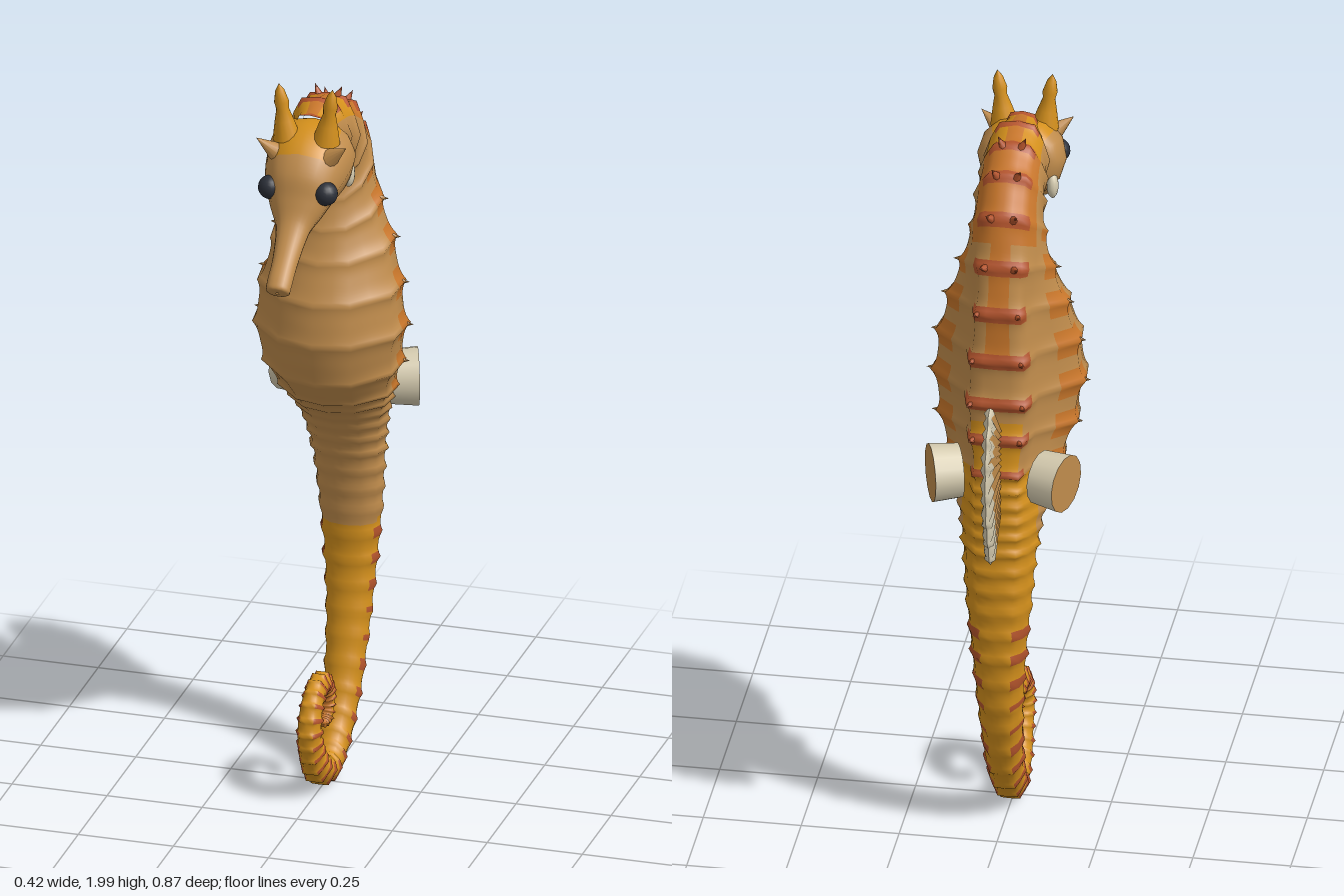
import * as THREE from 'three';

const mat = (name, color) => {
  const m = new THREE.MeshStandardMaterial({ color });
  m.name = name;
  return m;
};
const tan = mat('tan skin', 0xc08c4c);
const gold = mat('golden skin', 0xd4901c);
const orange = mat('burnt orange', 0xc8762a);
const red = mat('rust red', 0xb4542c);
const cream = mat('cream fin', 0xd6ccb0);
const dark = mat('dark eye', 0x2b2f38);
const palette = [tan, gold, orange, red, cream];

// Grid surface: point(i, j) places vertices, paint(i, j) picks a material per cell
function grid(name, rows, cols, wrap, flip, point, paint) {
  const n = wrap ? cols : cols + 1, pos = [], buckets = palette.map(() => []);
  for (let i = 0; i <= rows; i++) for (let j = 0; j < n; j++) pos.push(...point(i, j));
  for (let i = 0; i < rows; i++) for (let j = 0; j < cols; j++) {
    const k = (j + 1) % n, a = i * n + j, b = i * n + k, c = a + n, d = b + n;
    buckets[palette.indexOf(paint(i, j))].push(...(flip ? [a, c, b, b, c, d] : [a, b, c, b, d, c]));
  }
  const g = new THREE.BufferGeometry();
  g.setAttribute('position', new THREE.Float32BufferAttribute(pos, 3));
  g.setIndex(buckets.flat());
  let start = 0;
  buckets.forEach((b, m) => { if (b.length) g.addGroup(start, b.length, m); start += b.length; });
  g.computeVertexNormals();
  const mesh = new THREE.Mesh(g, palette);
  mesh.name = name;
  return mesh;
}

// Half cross-sections as [side, back-to-belly]; 12 cells per half
const PLATED = [[0, -1], [.37, -.96], [.5, -.6], [.98, -.06], [.95, .42], [.5, .88], [0, 1]];
const ROUND = [[0, -1], [.52, -.88], [.87, -.5], [1, 0], [.87, .5], [.52, .87], [0, 1]];
const RIDGE = [.7, 1.5, .4, 1.3, 1, .6, .5];
function section(j, plated) {
  const right = j <= 12, h = right ? j : 24 - j, k = Math.min(5, Math.floor(h / 2)), f = h / 2 - k;
  const mix = THREE.MathUtils.lerp;
  const at = (q, c) => mix(ROUND[q][c], PLATED[q][c], plated);
  return {
    u: mix(at(k, 0), at(k + 1, 0), f) * (right ? 1 : -1),
    v: mix(at(k, 1), at(k + 1, 1), f),
    r: mix(RIDGE[k], RIDGE[k + 1], f)
  };
}

// Smooth spine from stations [backZ, backY, bellyZ, bellyY, halfWidth]
function spine(stations) {
  const curve = f => new THREE.CatmullRomCurve3(stations.map(f));
  const back = curve(s => new THREE.Vector3(0, s[1], s[0]));
  const belly = curve(s => new THREE.Vector3(0, s[3], s[2]));
  const width = curve((s, i) => new THREE.Vector3(s[4], i * .1, 0));
  const last = stations.length - 1;
  return t => ({ a: back.getPoint(t / last), b: belly.getPoint(t / last), w: width.getPoint(t / last).x });
}

function loft(name, stations, per, bump, plating, paint) {
  const at = spine(stations), rows = (stations.length - 1) * per;
  return grid(name, rows, 24, true, false, (i, j) => {
    const t = i / per, { a, b, w } = at(t), s = section(j, plating(w));
    const mid = a.clone().add(b).multiplyScalar(.5), half = b.clone().sub(a).multiplyScalar(.5);
    const e = bump(t, w) * s.r, len = Math.max(half.length(), .001);
    const p = mid.addScaledVector(half, s.v * (1 + e / len));
    return [s.u * (w + e), p.y, p.z];
  }, (i, j) => {
    const h = j < 12 ? j : 23 - j;
    return paint((i + .5) / per, h);
  });
}

const BODY = [
  [.14, 1.905, .1, 1.75, .05], [.06, 1.92, .04, 1.73, .075], [-.02, 1.9, .01, 1.71, .08],
  [-.1, 1.855, 0, 1.675, .085], [-.172, 1.77, .015, 1.62, .092], [-.215, 1.65, .04, 1.55, .115],
  [-.24, 1.53, .07, 1.47, .148], [-.25, 1.4, .108, 1.37, .175], [-.258, 1.28, .12, 1.26, .186],
  [-.263, 1.18, .088, 1.14, .17], [-.27, 1.08, .02, 1.06, .143], [-.276, .97, -.07, .97, .113],
  [-.28, .86, -.125, .86, .094], [-.282, .72, -.155, .72, .083], [-.275, .55, -.165, .55, .068],
  [-.245, .36, -.145, .39, .056], [-.178, .175, -.1, .23, .047], [-.09, .062, -.05, .14, .041],
  [0, .02, 0, .095, .037], [.1, .058, .055, .12, .034], [.155, .13, .09, .165, .03],
  [.175, .21, .11, .21, .03], [.15, .287, .095, .255, .028], [.095, .33, .07, .275, .025],
  [.03, .325, .045, .275, .024], [-.017, .283, .02, .255, .022], [-.023, .225, .01, .225, .02],
  [0, .182, .015, .205, .018], [.035, .183, .03, .2, .014], [.048, .195, .045, .2, .004]
];
const HEAD = [
  [.425, 1.542, .42, 1.535, .004], [.437, 1.558, .402, 1.522, .029], [.425, 1.575, .388, 1.535, .033],
  [.37, 1.622, .335, 1.575, .034], [.31, 1.685, .265, 1.63, .045], [.285, 1.74, .22, 1.655, .07],
  [.265, 1.8, .17, 1.675, .092], [.215, 1.86, .12, 1.68, .108], [.15, 1.89, .08, 1.7, .112],
  [.09, 1.88, .06, 1.74, .09], [.06, 1.83, .055, 1.79, .02]
];

// Bony ring strength along the body: 1 on a ring, 0 between rings
function ring(t) {
  const phase = t < 10 ? t : t < 16 ? 10 + (t - 10) * 2.5 : 25 + (t - 16) * 2;
  return Math.abs((phase % 1) * 2 - 1);
}
function paintBody(t, h) {
  const r = ring(t);
  if (t < 10) {
    if (h < 3 && r > .6) return red;
    if (h < 1 && t < 7) return orange;
    if (h < 4 && t < 4.5) return t < 2 ? gold : orange;
    if ((h === 5 || h === 6) && t > 4 && r > .35) return orange;
    return h < 2 && t > 8.5 ? gold : tan;
  }
  if (t > 27) return orange;
  if (t > 13.4) {
    if (r > .68 && h > 1 && h < 8) return red;
    return t > 22 && h > 7 ? orange : gold;
  }
  return h < 4 + (t - 10) * .6 ? gold : tan;
}

function add(parent, name, geometry, material, position) {
  const m = new THREE.Mesh(geometry, material);
  m.name = name;
  m.position.set(...position);
  parent.add(m);
  return m;
}
const UP = new THREE.Vector3(0, 1, 0);
const aim = (m, x, y, z) => m.quaternion.setFromUnitVectors(UP, new THREE.Vector3(x, y, z).normalize());

export function createModel() {
  const model = new THREE.Group();
  model.name = 'seahorse';

  // Ringed trunk and curled tail, head with snout
  model.add(loft('body', BODY, 12, (t, w) => Math.pow(ring(t), 3) * (.004 + w * .05) * (t > 28 ? 0 : 1),
    w => THREE.MathUtils.smoothstep(w, .085, .15), paintBody));
  model.add(loft('head', HEAD, 6, () => 0, () => 0, (t, h) => t > 6.7 && h < 3 ? gold : tan));

  // Spines along the back and flanks
  const at = spine(BODY), spineShape = new THREE.ConeGeometry(.013, .036, 8);
  for (let t = 2; t <= 9; t++) {
    const { a, b, w } = at(t), out = a.clone().sub(b).normalize(), mid = a.clone().add(b).multiplyScalar(.5);
    for (const s of [-1, 1]) {
      const p = a.clone().addScaledVector(out, .008);
      aim(add(model, 'backSpine', spineShape, red, [s * w * .36, p.y, p.z]), s * .4, out.y, out.z);
      if (t > 4) aim(add(model, 'flankSpine', spineShape, tan, [s * (w + .006), mid.y, mid.z]), s, 0, -.1);
    }
  }

  // Paired head details and side fins
  const hornShape = new THREE.LatheGeometry([[.036, -.02], [.024, .03], [.016, .06], [.019, .08], [.012, .11], [0, .13]]
    .map(p => new THREE.Vector2(...p)), 14);
  const finShape = new THREE.CylinderGeometry(.076, .07, .075, 14);
  for (const s of [-1, 1]) {
    aim(add(model, 'crownHorn', hornShape, gold, [s * .054, 1.875, .17]), s * .13, 1, .04);
    aim(add(model, 'browSpike', new THREE.ConeGeometry(.03, .075, 12), tan, [s * .09, 1.842, .205]), s * .75, .6, .25);
    add(model, 'eye', new THREE.SphereGeometry(.031, 16, 12), dark, [s * .073, 1.747, .243]);
    const gill = add(model, 'gillPatch', new THREE.SphereGeometry(.03, 12, 8), cream, [s * .086, 1.735, .083]);
    gill.scale.set(.5, 1.15, .7);
    const fin = add(model, 'sideFin', finShape, [cream, tan, cream], [s * .138, 1.055, -.218]);
    aim(fin, s * .93, 0, -.34);
  }

  // Fan-shaped back fin with ruffled rays
  const edge = new THREE.CatmullRomCurve3([[1.33, -.36], [1.27, -.405], [1.18, -.428], [1.05, -.418], [.95, -.388], [.87, -.355]]
    .map(([y, z]) => new THREE.Vector3(0, y, z)));
  const levels = [0, .35, .66, .94, 1];
  for (const s of [-1, 1]) {
    model.add(grid('backFin', 28, 4, false, s > 0, (i, k) => {
      const f = i / 28, root = new THREE.Vector3(0, 1.21 - .22 * f, -.255);
      const reach = levels[k] * (i % 4 === 2 ? 1.05 : i % 2 ? 1.02 : .98);
      const p = root.lerp(edge.getPoint(f), reach);
      return [k === 4 ? 0 : s * (i % 2 ? .014 : .007), p.y, p.z];
    }, (i, k) => k < 2 || (k === 2 && i % 4 === 1) ? tan : cream));
  }
  return model;
}
